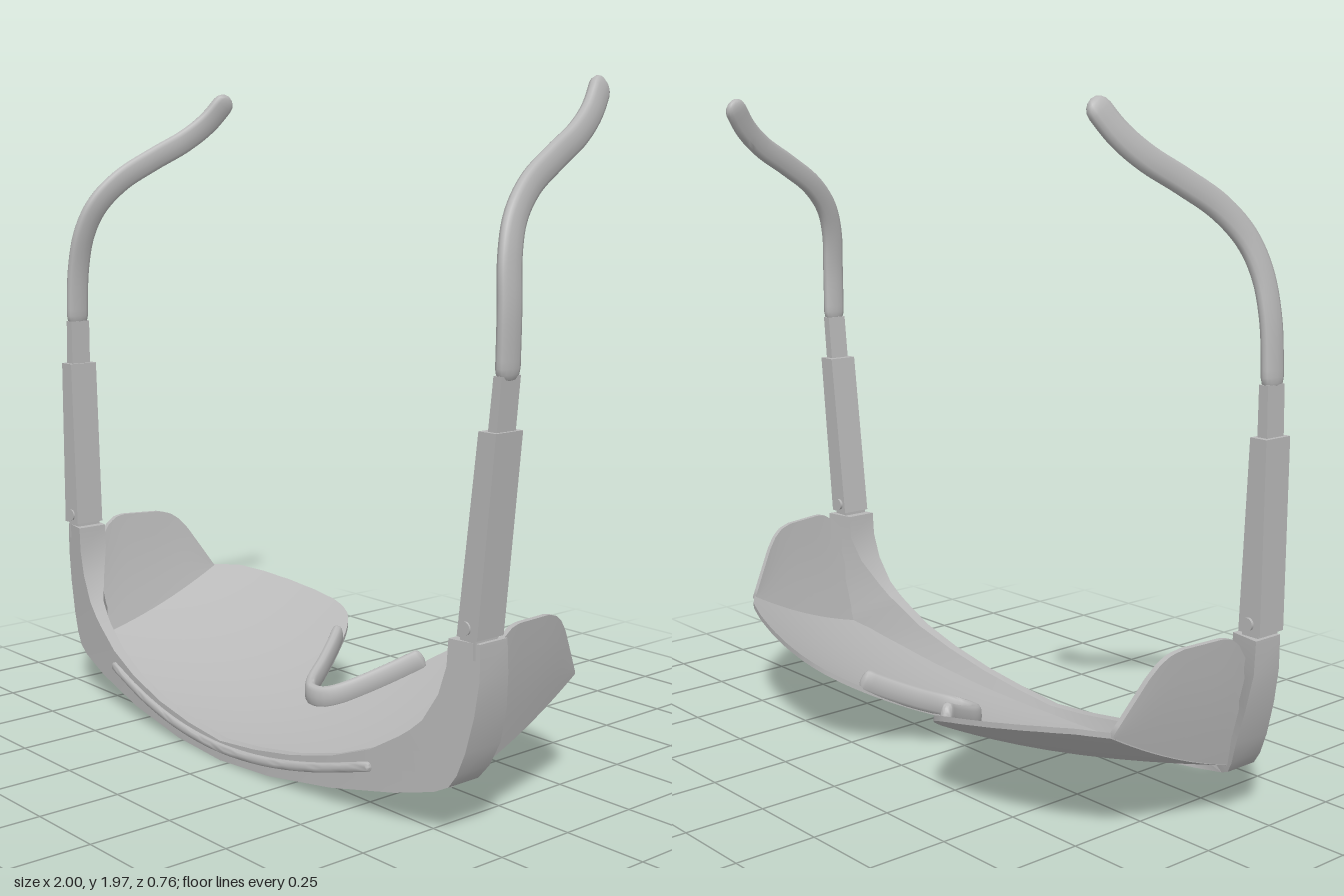
import * as THREE from 'three';
import { toCreasedNormals } from 'three/addons/utils/BufferGeometryUtils.js';

const CX = -0.035; // centre line of the front; the two arms are folded out unequally
const V = (x, y, z) => new THREE.Vector3(x, y, z);

// Skin a run of closed rings, with a fan cap at both ends
function loft(rings, crease = 0.6) {
  const n = rings[0].length, pos = [], idx = [];
  rings.forEach(r => r.forEach(p => pos.push(p.x, p.y, p.z)));
  for (let i = 0; i < rings.length - 1; i++) {
    for (let j = 0; j < n; j++) {
      const a = i * n + j, b = i * n + (j + 1) % n;
      idx.push(a, b, a + n, b, b + n, a + n);
    }
  }
  const last = (rings.length - 1) * n;
  for (let j = 1, k = n - 2; j < k; j++, k--) { // zip caps suit long thin rings
    idx.push(j - 1 ? j - 1 : 0, k + 1, j, j, k + 1, k);
    idx.push(last + j - 1, last + j, last + k + 1, last + j, last + k, last + k + 1);
  }
  if (n % 2 === 0) {
    const h = n / 2 - 1; // middle quad of the zip
    if (n === 4) { idx.push(0, 3, 1, 1, 3, 2, last, last + 1, last + 3, last + 1, last + 2, last + 3); idx.splice(-24, 12); }
    else idx.push(h - 1, h + 2, h, h, h + 2, h + 1, last + h - 1, last + h, last + h + 2, last + h, last + h + 1, last + h + 2);
  }
  const g = new THREE.BufferGeometry();
  g.setAttribute('position', new THREE.Float32BufferAttribute(pos, 3));
  g.setIndex(idx);
  return toCreasedNormals(g, crease);
}

// Sweep a flattened round section along a smooth path; ends are rounded off
function sweep(points, w, h, axis, steps = 40) {
  const curve = new THREE.CatmullRomCurve3(points), len = curve.getLength(), rings = [];
  const ts = [0, 0.1, 0.3, 0.6].map(k => k * w / len);
  for (let i = 1; i < steps; i++) ts.push(w / len + (i - 1) / (steps - 2) * (1 - 2 * w / len));
  ts.push(...[0.6, 0.3, 0.1, 0].map(k => 1 - k * w / len));
  for (const t of ts) {
    const p = curve.getPointAt(t), T = curve.getTangentAt(t);
    const side = T.clone().cross(axis).normalize(), up = side.clone().cross(T).normalize();
    const d = Math.min(1, Math.min(t, 1 - t) * len / w);
    const k = Math.max(0.05, Math.sqrt(1 - (1 - d) ** 2));
    const ring = [];
    for (let j = 0; j < 12; j++) {
      const a = j / 12 * Math.PI * 2;
      const f = v => Math.sign(v) * Math.abs(v) ** 0.75;
      ring.push(p.clone().addScaledVector(side, f(Math.cos(a)) * w * k).addScaledVector(up, f(Math.sin(a)) * h * k));
    }
    rings.push(ring);
  }
  return loft(rings, 0.9);
}

// Four-sided post from levels of [y, x0, x1, z0, z1]
const post = levels => loft(levels.map(([y, x0, x1, z0, z1]) =>
  [V(x0, y, z0), V(x0, y, z1), V(x1, y, z1), V(x1, y, z0)]));

function lerpTable(table, x) {
  let i = 0;
  while (i < table.length - 2 && x > table[i + 1][0]) i++;
  const [a, b] = [table[i], table[i + 1]];
  return a[1] + (b[1] - a[1]) * Math.min(1, Math.max(0, (x - a[0]) / (b[0] - a[0])));
}

// Lens surface rules: u is the distance from the centre line
const frontZ = u => 0.365 - 0.09 * (u / 0.93) ** 2;
const foldU = z => 0.85 + 0.075 * z;
function lensY(u, z) {
  const t = 0.3 - z;
  return 0.03 + 0.06 * t + 0.38 * t * t * Math.sign(t) + (0.1 + 0.12 * t) * (u / 0.83) ** 2;
}
const lensEdge = [[0, -0.02], [0.04, -0.03], [0.08, -0.09], [0.14, -0.2], [0.2, -0.3], [0.23, -0.338],
  [0.265, -0.365], [0.31, -0.38], [0.365, -0.385], [0.46, -0.378], [0.565, -0.36], [0.67, -0.332], [0.765, -0.295], [0.84, -0.24]];

function lensGeometry() {
  const rings = [], cols = 100, rows = 14;
  for (let i = 0; i <= cols; i++) {
    const s = i / cols * 2 - 1, top = [], bottom = [];
    const z0 = frontZ(s * 0.865) - 0.02, z1 = lerpTable(lensEdge, Math.abs(s) * 0.84);
    for (let j = 0; j <= rows; j++) {
      const z = z0 + (z1 - z0) * j / rows, u = s * foldU(z), y = lensY(u, z);
      top.push(V(CX + u, y + 0.012, z));
      bottom.unshift(V(CX + u, y - 0.004, z));
    }
    rings.push([...top, ...bottom]);
  }
  return loft(rings);
}

// Side shield rising from the lens fold
const shieldTop = [[-0.24, 0.345], [-0.2, 0.41], [-0.15, 0.49], [-0.12, 0.525], [-0.09, 0.545], [-0.05, 0.555],
  [0.08, 0.56], [0.11, 0.555], [0.14, 0.535], [0.18, 0.48], [0.23, 0.44]];
function shieldGeometry(side) {
  const rings = [];
  for (let i = 0; i <= 32; i++) {
    const z = -0.24 + 0.47 * i / 32, u0 = foldU(z), y0 = lensY(u0, z), rise = lerpTable(shieldTop, z) - y0;
    const inner = [], outer = [];
    for (let k = 0; k <= 4; k++) {
      const f = k / 4, u = u0 + 0.17 * rise * (1.4 * f - 0.4 * f * f), y = y0 + rise * f;
      inner.push(V(CX + side * (u - 0.008), y, z));
      outer.unshift(V(CX + side * (u + 0.008), y, z));
    }
    rings.push([...inner, ...outer]);
  }
  return loft(rings);
}

// Brow frame: outer u, outer y, inner u, inner y, outer depth, inner depth
const frameHalf = [
  [0.965, 0.545, 0.87, 0.545, 0.1, 0.1], [0.965, 0.45, 0.865, 0.47, 0.105, 0.1], [0.95, 0.35, 0.84, 0.39, 0.12, 0.08],
  [0.925, 0.25, 0.79, 0.31, 0.13, 0.05], [0.9, 0.185, 0.75, 0.275, 0.12, 0.045], [0.875, 0.148, 0.715, 0.25, 0.11, 0.04],
  [0.83, 0.125, 0.615, 0.19, 0.09, 0.035], [0.7, 0.09, 0.48, 0.14, 0.075, 0.03], [0.47, 0.045, 0.32, 0.1, 0.07, 0.03],
  [0.22, 0.012, 0.16, 0.075, 0.07, 0.03], [0, 0, 0, 0.06, 0.07, 0.03]];
function frameGeometry() {
  const ring = (side, [ou, oy, iu, iy, od, id]) => [
    V(CX + side * ou, oy, frontZ(ou)), V(CX + side * iu, iy, frontZ(iu)),
    V(CX + side * iu, iy, frontZ(iu) - id), V(CX + side * ou, oy, frontZ(ou) - od)];
  return loft([...frameHalf.map(r => ring(-1, r)), ...frameHalf.slice(0, -1).reverse().map(r => ring(1, r))]);
}

export function createModel() {
  const model = new THREE.Group();
  model.name = 'safetyGlasses';
  const grey = new THREE.MeshStandardMaterial({ color: 0xb8b8b8, side: THREE.DoubleSide });
  grey.name = 'grey plastic';
  const add = (name, geometry, parent = model) => {
    const mesh = new THREE.Mesh(geometry, grey);
    mesh.name = name;
    parent.add(mesh);
    return mesh;
  };

  add('lens', lensGeometry());
  add('browFrame', frameGeometry());
  add('rightShield', shieldGeometry(-1));
  add('leftShield', shieldGeometry(1));

  // Raised rib along the brow
  const rib = [[-0.62, 0.143], [-0.4, 0.086], [-0.2, 0.052], [0, 0.04], [0.2, 0.052], [0.4, 0.086], [0.62, 0.143]];
  add('browRib', sweep(rib.map(([u, y]) => V(CX + u, y, frontZ(u))), 0.012, 0.014, V(0, 1, 0)));

  // Nose bridge pad along the notch
  const pad = [[0.2, -0.275], [0.165, -0.22], [0.11, -0.125], [0.065, -0.045], [0.03, -0.012]];
  const padPath = [...pad.map(([u, z]) => [-u, z]), [0, -0.006], ...pad.slice().reverse()];
  add('nosePad', sweep(padPath.map(([u, z]) => V(CX + u, lensY(u, z) + 0.035, z)), 0.018, 0.035, V(0, 1, 0)));

  // Arms: box levels [y, x0, x1], stem levels, tip x positions and the hinge pin x
  const tipYZ = [[1.21, 0.235], [1.4, 0.236], [1.52, 0.225], [1.61, 0.19], [1.69, 0.115], [1.76, 0], [1.82, -0.11], [1.88, -0.185], [1.965, -0.25]];
  const arms = [
    { name: 'rightArm', box: [[0.555, -1, -0.925], [1.09, -1, -0.945]], stem: [[1.08, -0.988, -0.955], [1.23, -0.985, -0.955]],
      tip: [-0.972, -0.957, -0.933, -0.907, -0.88, -0.853, -0.828, -0.803, -0.77], pin: -0.96 },
    { name: 'leftArm', box: [[0.555, 0.858, 0.93], [1.09, 0.925, 0.985]], stem: [[1.08, 0.945, 0.975], [1.23, 0.962, 0.99]],
      tip: [0.978, 0.982, 0.97, 0.952, 0.93, 0.908, 0.887, 0.868, 0.845], pin: 0.89 }];
  for (const { name, box, stem, tip, pin } of arms) {
    const arm = new THREE.Group();
    arm.name = name;
    model.add(arm);
    add('armSleeve', post(box.map(([y, a, b]) => [y, a, b, 0.183, 0.28])), arm);
    add('armStem', post(stem.map(([y, a, b]) => [y, a, b, 0.2, 0.268])), arm);
    add('earTip', sweep(tipYZ.map(([y, z], i) => V(tip[i], y, z)), 0.038, 0.018, V(1, 0, 0), 48), arm);
    add('hingeKnuckle', post([[0.5, pin - 0.028, pin + 0.028, 0.19, 0.272], [0.58, pin - 0.028, pin + 0.028, 0.19, 0.272]]), arm);
    const screw = add('hingePin', new THREE.CylinderGeometry(0.018, 0.018, 0.11, 20), arm);
    screw.rotation.x = Math.PI / 2;
    screw.position.set(pin, 0.582, 0.23);
  }
  return model;
}
